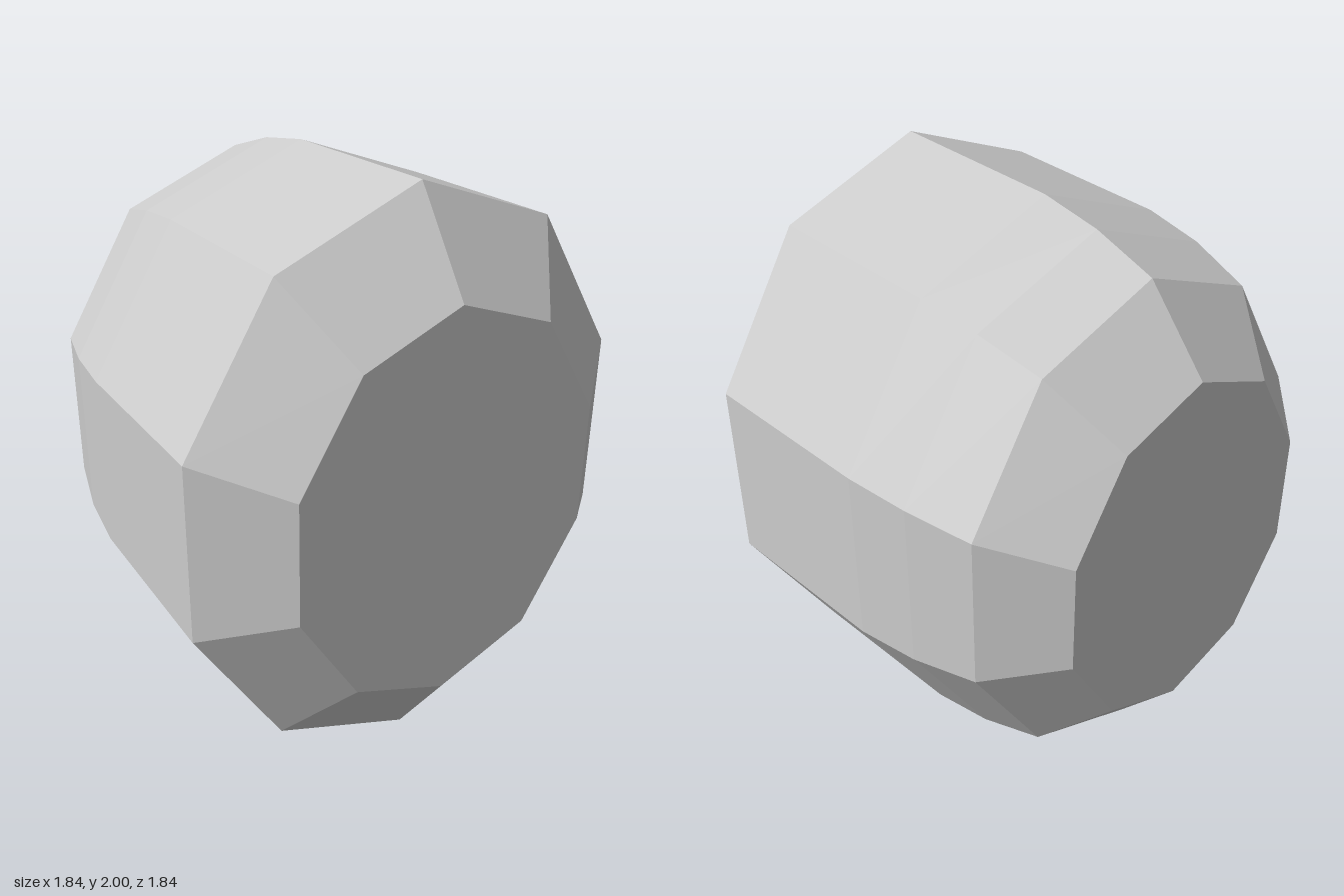
import * as THREE from 'three';

export function createModel() {
  const group = new THREE.Group();
  const stone = new THREE.MeshStandardMaterial({ color: 0xcccccc, flatShading: true });
  stone.name = 'light grey';

  // Barrel profile: [radius, position along the axis], back cap to front cap
  const profile = [
    [0, -0.808], [0.605, -0.808], [0.853, -0.595], [0.93, -0.372],
    [0.972, -0.15], [1, 0.5], [0.69, 0.717], [0, 0.717],
  ].map(([r, t]) => new THREE.Vector2(r, t));

  // Ten-sided barrel, narrower across than it is tall
  const geometry = new THREE.LatheGeometry(profile, 10);
  geometry.scale(0.846, 1, 1);

  // Lay the axis level, turned between the front and the left
  const axis = new THREE.Vector3(0.854, 0, 0.52).normalize();
  const up = new THREE.Vector3(0, 1, 0);
  const across = new THREE.Vector3().crossVectors(axis, up);
  geometry.applyMatrix4(new THREE.Matrix4().makeBasis(across, axis, up));
  geometry.translate(0.018, 1, -0.029);

  const barrel = new THREE.Mesh(geometry, stone);
  barrel.name = 'facetedBarrel';
  group.add(barrel);
  return group;
}
